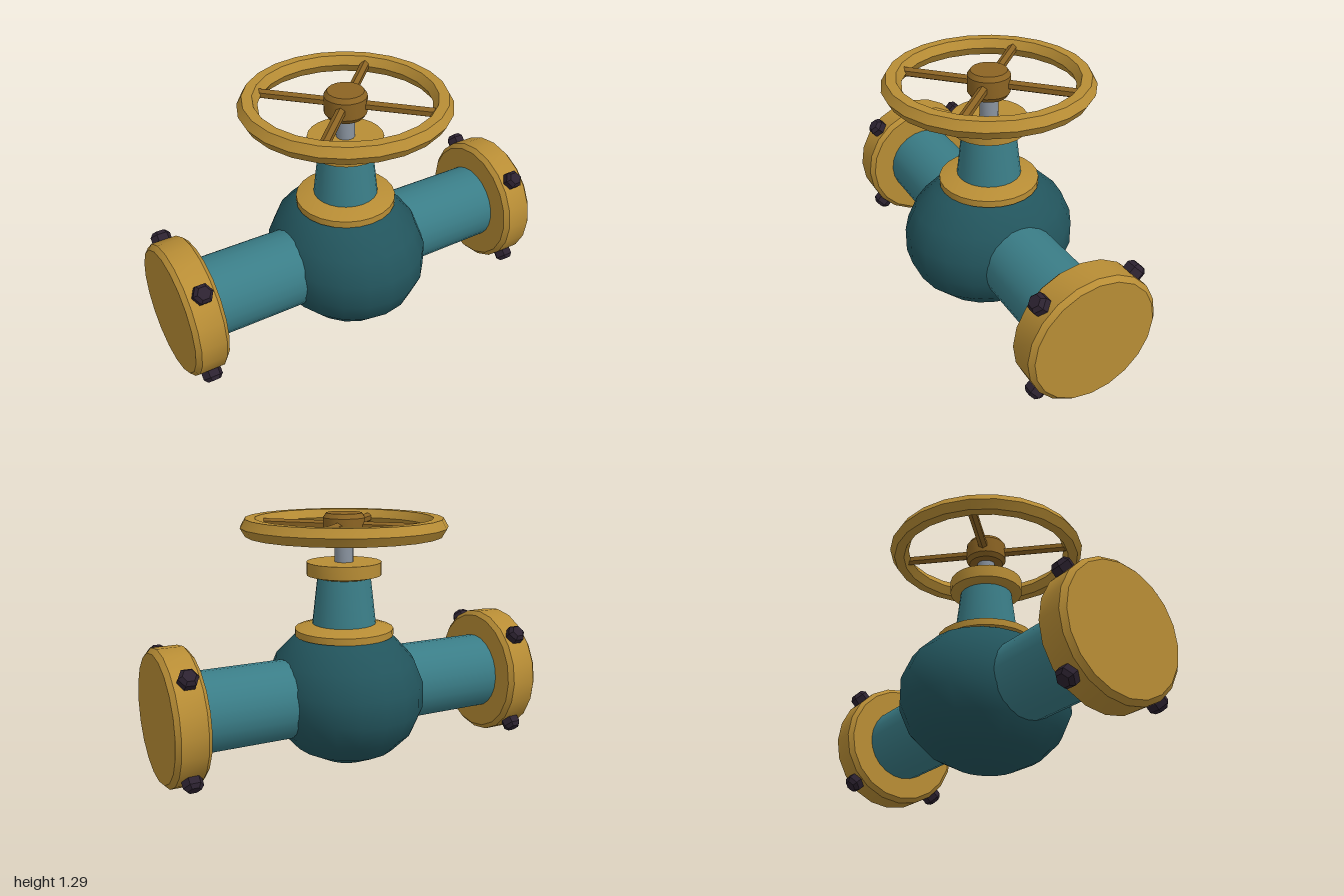
import * as THREE from 'three';
import { toCreasedNormals } from 'three/addons/utils/BufferGeometryUtils.js';

const mat = (name, color) => {
  const m = new THREE.MeshStandardMaterial({ color });
  m.name = name;
  return m;
};

export function createModel() {
  const teal = mat('teal', 0x3a7d87);
  const darkTeal = mat('dark teal', 0x22545c);
  const brass = mat('brass', 0xb88d35);
  const bronze = mat('bronze', 0x8c6423);
  const steel = mat('steel', 0x8a94a0);
  const boltDark = mat('bolt dark', 0x2c2230);

  const model = new THREE.Group();
  model.name = 'gateValve';
  const axisY = 0.375; // height of the pipe axis
  const wheelY = 1.232;

  const add = (parent, name, geometry, material) => {
    const mesh = new THREE.Mesh(geometry, material);
    mesh.name = name;
    parent.add(mesh);
    return mesh;
  };
  // Turned part from [radius, height] pairs, listed bottom to top
  const turned = (profile, sides) => toCreasedNormals(
    new THREE.LatheGeometry(profile.map(([r, y]) => new THREE.Vector2(r, y)), sides), 0.45);

  // Bulbous body
  const body = add(model, 'body', new THREE.SphereGeometry(1, 20, 9), darkTeal);
  body.scale.set(0.402, 0.37, 0.454);
  body.position.y = axisY;

  // Pipe, flange and bolts on both sides
  const flangeGeo = turned([[0, 0.828], [0.315, 0.828], [0.338, 0.85], [0.338, 0.978], [0.315, 1], [0, 1]], 20);
  const boltGeo = turned([[0.05, 0.3], [0.05, 0.368], [0.033, 0.387], [0, 0.387]], 6);
  for (const side of [1, -1]) {
    const arm = new THREE.Group();
    arm.name = side > 0 ? 'leftArm' : 'rightArm';
    arm.position.y = axisY;
    if (side < 0) arm.rotation.y = Math.PI;
    model.add(arm);

    const pipe = add(arm, 'pipe', new THREE.CylinderGeometry(0.202, 0.202, 0.65, 24, 1, true), teal);
    pipe.rotation.z = -Math.PI / 2;
    pipe.position.x = 0.525;
    add(arm, 'flange', flangeGeo, brass).rotation.z = -Math.PI / 2;

    for (let i = 0; i < 4; i++) {
      const holder = new THREE.Group();
      holder.name = 'flangeBolt';
      holder.position.x = 0.91;
      holder.rotation.x = Math.PI / 4 + i * Math.PI / 2;
      arm.add(holder);
      add(holder, 'boltHead', boltGeo, boltDark).rotation.y = Math.PI / 6;
    }
  }

  // Bonnet: lower collar, tapered neck, upper collar and stem
  add(model, 'bonnetCollar',
    turned([[0, 0.677], [0.253, 0.677], [0.253, 0.712], [0.165, 0.738], [0, 0.738]], 24), brass);
  add(model, 'neck', turned([[0.165, 0.72], [0.135, 0.98]], 24), teal);
  add(model, 'packingCollar',
    turned([[0, 0.973], [0.138, 0.973], [0.19, 0.987], [0.19, 1.053], [0, 1.053]], 24), brass);
  add(model, 'stem', turned([[0.047, 1.04], [0.047, 1.18]], 16), steel);

  // Handwheel
  const wheel = new THREE.Group();
  wheel.name = 'handwheel';
  wheel.position.y = wheelY;
  model.add(wheel);
  const rim = add(wheel, 'rim', toCreasedNormals(new THREE.TorusGeometry(0.47, 0.05, 6, 24), 0.45), brass);
  rim.rotation.x = Math.PI / 2;
  add(wheel, 'hub',
    turned([[0, -0.066], [0.09, -0.066], [0.106, -0.043], [0.106, 0.043], [0.09, 0.066], [0, 0.066]], 20), bronze);
  const spokeGeo = toCreasedNormals(new THREE.CylinderGeometry(0.025, 0.025, 0.36, 6), 0.45);
  spokeGeo.rotateY(Math.PI / 6).rotateZ(Math.PI / 2).translate(0.26, 0, 0);
  for (let i = 0; i < 4; i++) {
    add(wheel, 'spoke', spokeGeo, bronze).rotation.y = Math.PI / 4 + i * Math.PI / 2;
  }

  return model;
}
